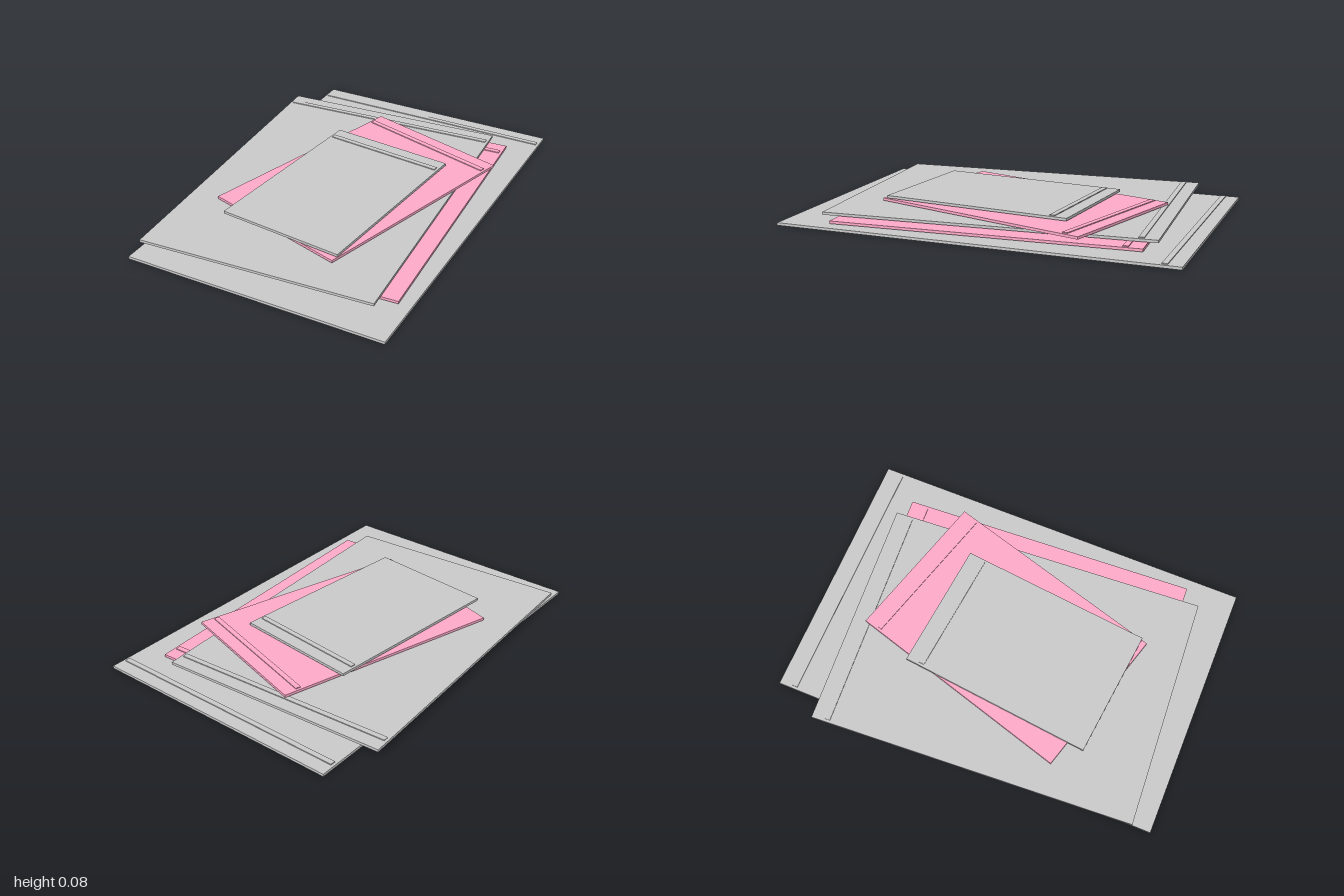
import * as THREE from 'three';

// Stack of flat zip pouches, largest at the bottom, each slightly turned
const PITCH = 0.0167;      // height between pouches
const THICK = 0.0125;      // pouch thickness
const ZIP_HEIGHT = 0.0042; // zip strip standing on the pouch

const grey = new THREE.MeshStandardMaterial({ color: 0xcccccc });
const pink = new THREE.MeshStandardMaterial({ color: 0xffabca });

// width, length, centre x, centre z, turn about y, material
const POUCHES = [
  [1.236, 1.857, 0.033, 0.0, 0.123, grey],
  [0.929, 1.427, 0.093, -0.004, 0.176, pink],
  [1.114, 1.55, -0.076, 0.046, 0.185, grey],
  [0.742, 1.116, 0.037, -0.033, -0.16, pink],
  [0.618, 0.93, 0.0045, 0.089, 0.019, grey],
];

function box(name, w, h, d, material) {
  const mesh = new THREE.Mesh(new THREE.BoxGeometry(w, h, d), material);
  mesh.name = name;
  return mesh;
}

function makePouch(width, length, material) {
  const pouch = new THREE.Group();
  const body = box('pouchBody', width, THICK, length, material);
  body.position.y = THICK / 2;
  // Zip strip just inside the rear edge
  const zip = box('zipStrip', width - 0.025, ZIP_HEIGHT, 0.025, material);
  zip.position.set(0, THICK + ZIP_HEIGHT / 2, -length / 2 + 0.075);
  pouch.add(body, zip);
  return pouch;
}

export function createModel() {
  const model = new THREE.Group();
  model.name = 'pouchStack';
  POUCHES.forEach(([width, length, x, z, turn, material], i) => {
    const pouch = makePouch(width, length, material);
    pouch.name = `pouch${i + 1}`;
    pouch.position.set(x, i * PITCH, z);
    pouch.rotation.y = turn;
    model.add(pouch);
  });
  return model;
}
